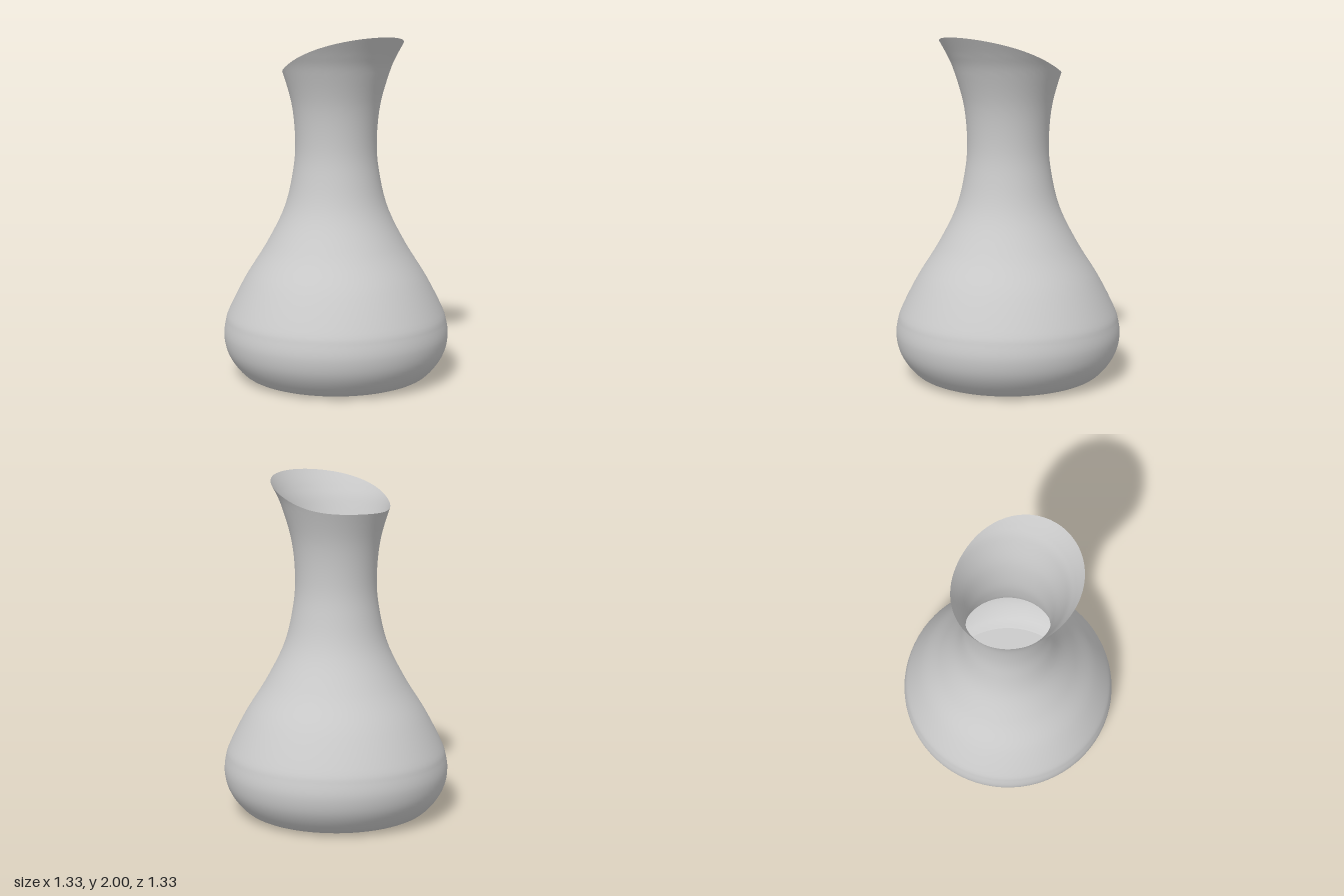
import * as THREE from 'three';
import { ParametricGeometry } from 'three/addons/geometries/ParametricGeometry.js';

// Radius and height up the wall, from foot to lip
const profile = new THREE.SplineCurve([
  [0.49, 0], [0.55, 0.025], [0.61, 0.09], [0.65, 0.165], [0.665, 0.25], [0.655, 0.33],
  [0.63, 0.405], [0.535, 0.59], [0.41, 0.79], [0.305, 1.0], [0.255, 1.2], [0.238, 1.38],
  [0.256, 1.6], [0.312, 1.8], [0.356, 1.9], [0.412, 2.0],
].map(([r, y]) => new THREE.Vector2(r, y)));

// Height of the slanted rim: a pouring lip at the front, low at the back
const rimHeight = (c) => 1.86 + 0.13 * c + 0.03 * c * c - 0.02 * c * c * c;

// Curve parameter at which the profile reaches a height
function paramAtHeight(y) {
  let lo = 0, hi = 1;
  for (let i = 0; i < 30; i++) {
    const mid = (lo + hi) / 2;
    if (profile.getPoint(mid).y < y) lo = mid; else hi = mid;
  }
  return hi;
}

export function createModel() {
  const group = new THREE.Group();
  group.name = 'carafe';
  const material = new THREE.MeshStandardMaterial({ color: 0xcccccc, side: THREE.DoubleSide });

  // Thin wall, revolved around y and trimmed by the slanted rim
  const wall = new THREE.Mesh(new ParametricGeometry((u, v, target) => {
    const angle = u * Math.PI * 2;
    const p = profile.getPoint(v * paramAtHeight(rimHeight(Math.cos(angle))));
    target.set(p.x * Math.sin(angle), p.y, p.x * Math.cos(angle));
  }, 72, 60), material);
  wall.name = 'wall';

  // Flat base
  const base = new THREE.Mesh(new THREE.CircleGeometry(0.49, 72).rotateX(Math.PI / 2), material);
  base.name = 'base';

  group.add(wall, base);
  return group;
}
